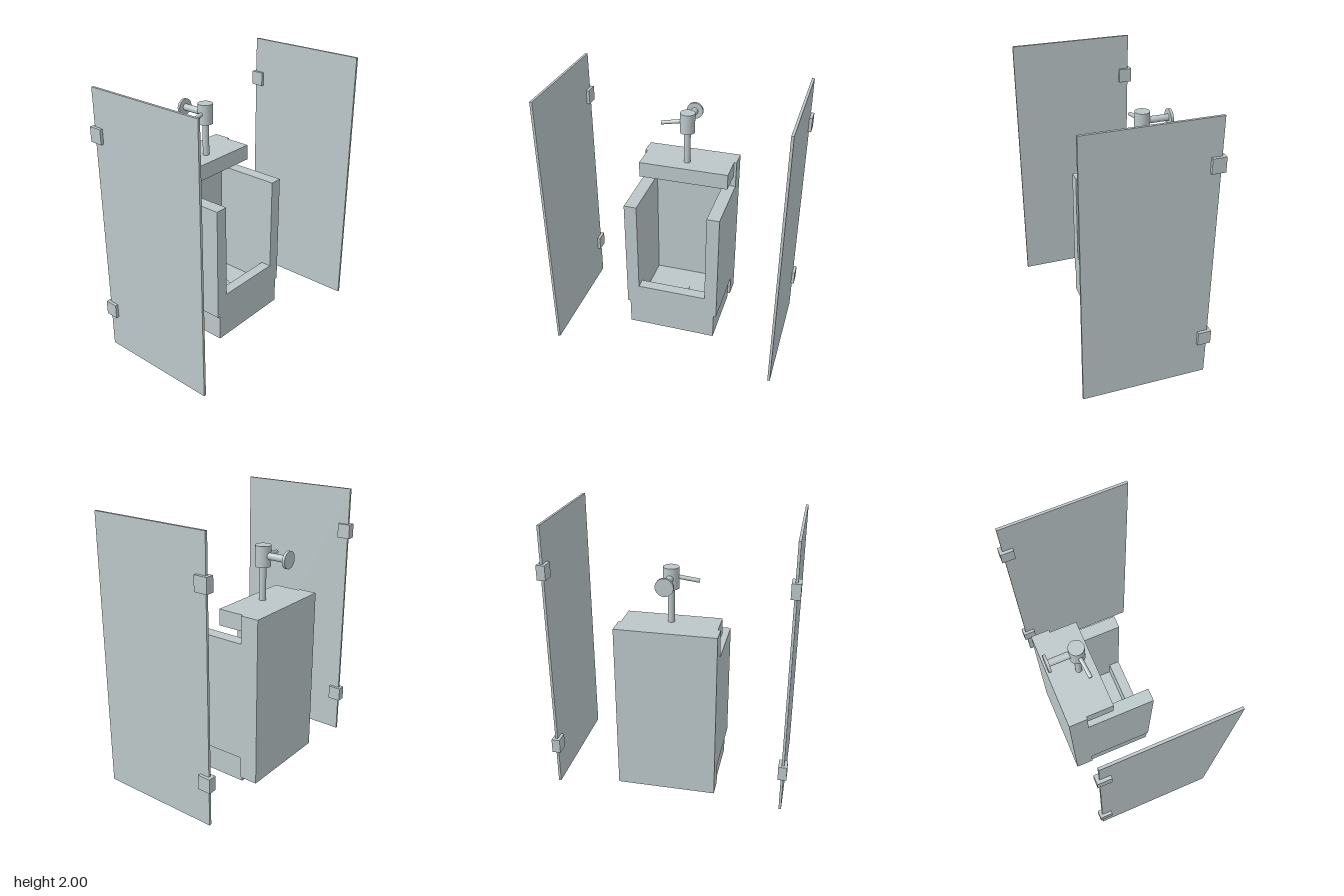
import * as THREE from 'three';

const ceramic = new THREE.MeshStandardMaterial({ color: 0xbcc7c9 });
ceramic.name = 'paleGrey';

// Box given by its [min, max] range on each axis
function box(name, [x0, x1], [y0, y1], [z0, z1]) {
  const mesh = new THREE.Mesh(new THREE.BoxGeometry(x1 - x0, y1 - y0, z1 - z0), ceramic);
  mesh.position.set((x0 + x1) / 2, (y0 + y1) / 2, (z0 + z1) / 2);
  mesh.name = name;
  return mesh;
}

// Cylinder running between two points
function rod(name, from, to, radius) {
  const a = new THREE.Vector3(...from);
  const b = new THREE.Vector3(...to);
  const dir = b.clone().sub(a);
  const mesh = new THREE.Mesh(new THREE.CylinderGeometry(radius, radius, dir.length(), 40), ceramic);
  mesh.position.copy(a).add(b).multiplyScalar(0.5);
  mesh.quaternion.setFromUnitVectors(new THREE.Vector3(0, 1, 0), dir.normalize());
  mesh.name = name;
  return mesh;
}

function createUrinal() {
  const g = new THREE.Group();
  g.name = 'urinal';
  const back = -0.335, front = 0.167;
  g.add(
    box('backPlate', [-0.357, 0.357], [0.08, 1.322], [-0.47, back]),
    box('base', [-0.337, 0.337], [0.04, 0.24], [back, front]),
    box('frontLip', [-0.262, 0.262], [0.24, 0.4], [0.087, front]),
    box('topSlab', [-0.338, 0.338], [1.204, 1.322], [back, -0.135]),
    box('rightWall', [-0.357, -0.262], [0.24, 1.12], [back, front]),
    box('leftWall', [0.262, 0.357], [0.24, 1.12], [back, front]),
    rod('drain', [0, 0.24, -0.115], [0, 0.248, -0.115], 0.067),
  );
  return g;
}

function createFlushValve() {
  const g = new THREE.Group();
  g.name = 'flushValve';
  const z = -0.253, y = 1.645;
  g.add(
    rod('downPipe', [0, 1.32, z], [0, 1.57, z], 0.024),
    rod('valveBody', [0, 1.567, z], [0, 1.717, z], 0.055),
    rod('wallPipe', [0, y, z], [0, y, -0.45], 0.025),
    rod('wallFlange', [0, y, -0.45], [0, y, -0.47], 0.062),
    rod('handle', [0, 1.655, z], [-0.192, 1.624, -0.233], 0.0145),
  );
  return g;
}

// Partition panel with two wall brackets at its rear edge
function createPartition(name, x) {
  const g = new THREE.Group();
  g.name = name;
  g.add(box('panel', [x - 0.009, x + 0.009], [0, 2], [-0.447, 0.468]));
  for (const y of [0.322, 1.682]) {
    g.add(box('bracket', [x - 0.031, x + 0.031], [y - 0.053, y + 0.053], [-0.47, -0.373]));
  }
  return g;
}

export function createModel() {
  const model = new THREE.Group();
  model.name = 'urinalStall';
  model.add(
    createUrinal(),
    createFlushValve(),
    createPartition('leftPartition', 0.838),
    createPartition('rightPartition', -0.838),
  );
  return model;
}
